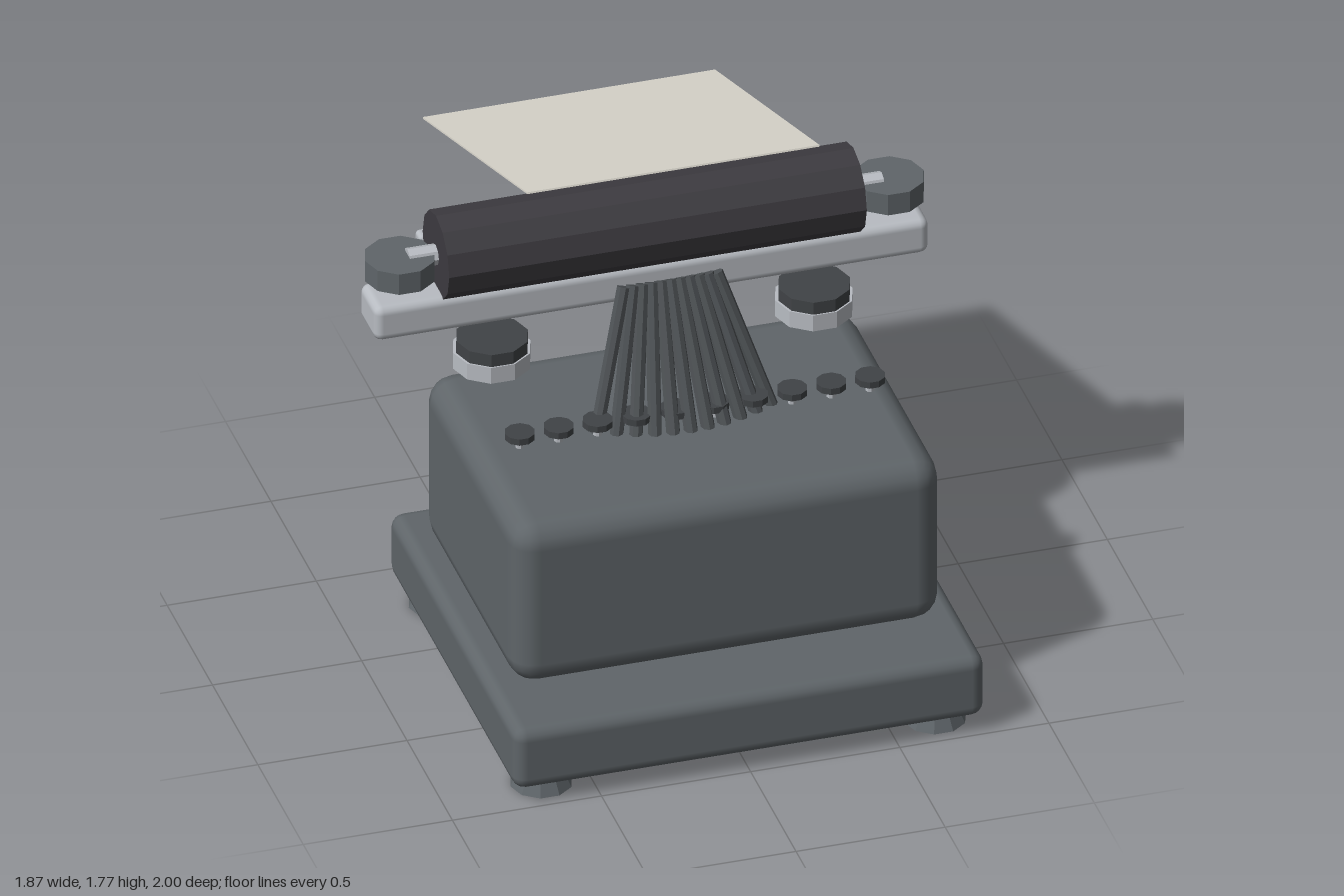
import * as THREE from 'three';
import { RoundedBoxGeometry } from 'three/addons/geometries/RoundedBoxGeometry.js';

const paint = (color, flatShading = false) => new THREE.MeshStandardMaterial({ color, flatShading });

export function createModel() {
  const model = new THREE.Group();
  const enamel = paint(0x5f6569), enamelFlat = paint(0x5f6569, true);
  const steel = paint(0xb8bcc2), steelFlat = paint(0xb8bcc2, true);
  const rubber = paint(0x3d3b40, true), dark = paint(0x404346, true), barMetal = paint(0x4c5053, true);

  const add = (name, geometry, material, x = 0, y = 0, z = 0) => {
    const mesh = new THREE.Mesh(geometry, material);
    mesh.name = name;
    mesh.position.set(x, y, z);
    model.add(mesh);
    return mesh;
  };
  // Rounded box given by its extents
  const block = (name, material, halfX, y0, y1, z0, z1, radius) =>
    add(name, new RoundedBoxGeometry(halfX * 2, y1 - y0, z1 - z0, 2, radius), material,
      0, (y0 + y1) / 2, (z0 + z1) / 2);
  // Upright faceted cylinder with a corner on the x axis
  const drum = (name, material, rTop, rBottom, y0, y1, x, z, sides = 10) =>
    add(name, new THREE.CylinderGeometry(rTop, rBottom, y1 - y0, sides, 1, false, Math.PI / 2),
      material, x, (y0 + y1) / 2, z);

  // Base and body
  block('base', enamel, 0.79, 0.06, 0.29, -0.4, 1.0, 0.045);
  block('body', enamel, 0.72, 0.29, 0.9, -0.26, 0.77, 0.09);

  // Feet
  for (const x of [-0.66, 0.66])
    for (const z of [-0.26, 0.86]) drum('foot', enamelFlat, 0.07, 0.103, 0, 0.07, x, z);

  // Carriage: rail, platen, axle and rear bar
  block('carriageRail', steel, 0.93, 1.14, 1.27, -0.26, -0.08, 0.03);
  add('platen', new THREE.CylinderGeometry(0.147, 0.147, 1.4, 12), rubber, 0, 1.385, -0.167)
    .rotation.z = Math.PI / 2;
  add('platenAxle', new THREE.CylinderGeometry(0.036, 0.036, 1.59, 8), steelFlat, 0, 1.385, -0.17)
    .rotation.z = Math.PI / 2;
  block('paperBail', steel, 0.7, 1.285, 1.34, -0.405, -0.35, 0.015);

  // Carriage knobs and ribbon spools on both sides
  for (const s of [-1, 1]) {
    drum('platenKnob', enamelFlat, 0.117, 0.117, 1.325, 1.402, s * 0.82, -0.172);
    drum('spool', steelFlat, 0.13, 0.13, 1.0, 1.06, s * 0.54, -0.08);
    drum('spoolCap', dark, 0.12, 0.12, 1.06, 1.105, s * 0.54, -0.075);
  }

  // Row of keys
  for (let i = 0; i < 10; i++) {
    const x = -0.555 + i * 0.1305;
    drum('keyStem', steelFlat, 0.015, 0.015, 0.88, 0.935, x, 0.28, 8);
    drum('keyCap', dark, 0.05, 0.05, 0.935, 0.958, x, 0.28);
  }

  // Fan of typebars
  const up = new THREE.Vector3(0, 1, 0);
  for (let i = -5; i <= 5; i++) {
    const t = i / 5;
    const low = new THREE.Vector3(t * 0.3, 0.87, 0.355 - 0.085 * t * t);
    const high = new THREE.Vector3(t * 0.155, 1.33, 0.11);
    const dir = high.clone().sub(low);
    const bar = add('typebar', new THREE.CylinderGeometry(0.023, 0.023, dir.length(), 8), barMetal);
    bar.position.copy(low).add(high).multiplyScalar(0.5);
    bar.quaternion.setFromUnitVectors(up, dir.normalize());
  }

  // Sheet of paper, tilted down towards the back
  const drop = 1.77 - 1.36, run = 1.15;
  add('paper', new THREE.BoxGeometry(0.98, 0.006, Math.hypot(drop, run)), paint(0xe0ddd3),
    0, (1.77 + 1.36) / 2, -0.427).rotation.x = -Math.atan2(drop, run);

  return model;
}
